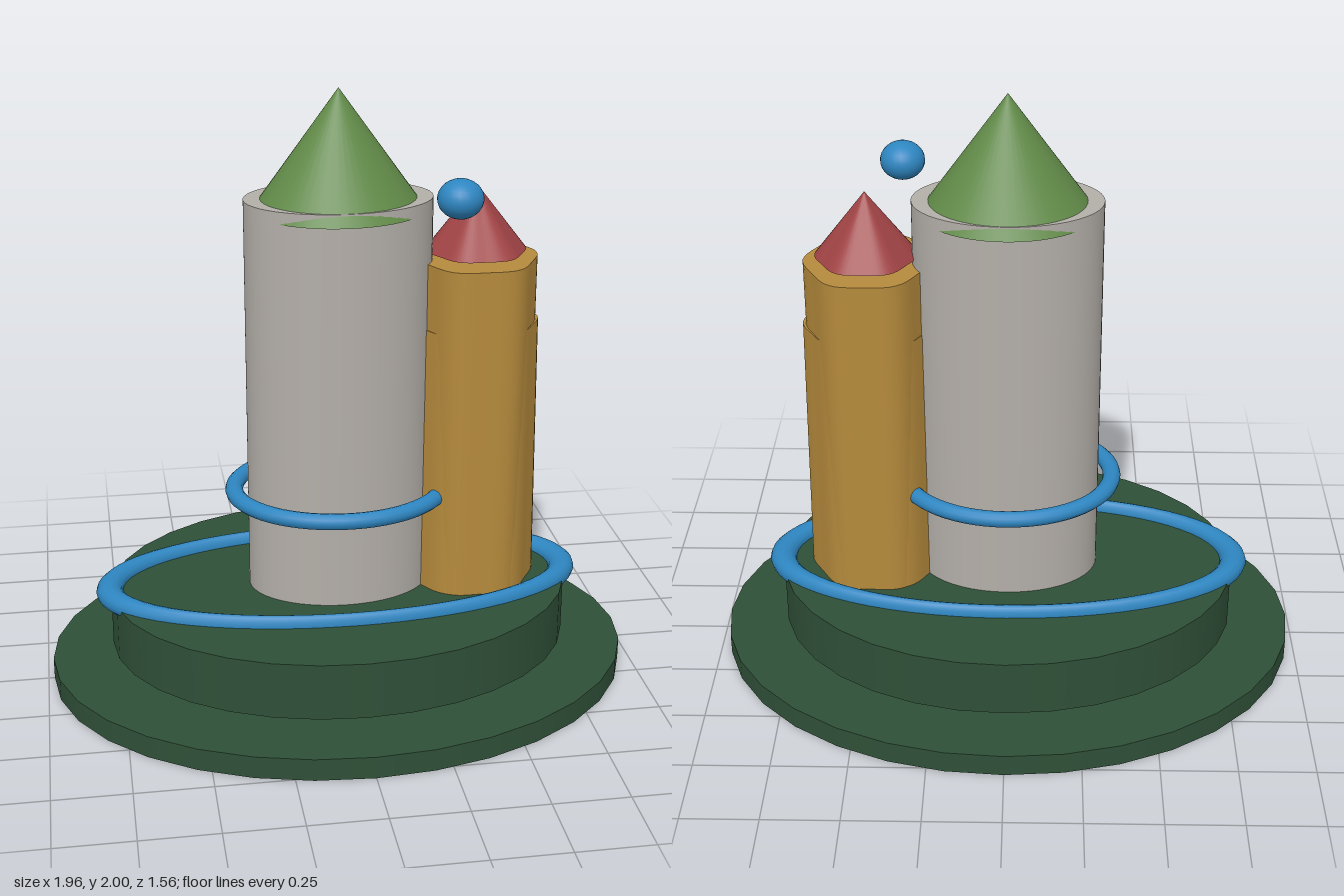
import * as THREE from 'three';

const material = (name, color) => {
  const m = new THREE.MeshStandardMaterial({ color });
  m.name = name;
  return m;
};

export function createModel() {
  const model = new THREE.Group();
  model.name = 'twinTowerMonument';

  const darkGreen = material('dark green', 0x2f5038);
  const grey = material('warm grey', 0xb3aea8);
  const green = material('leaf green', 0x618a48);
  const ochre = material('ochre', 0xb58a3c);
  const red = material('brick red', 0xa04345);
  const blue = material('blue', 0x2e86c1);

  const add = (name, geometry, mat, x = 0, y = 0, z = 0) => {
    const mesh = new THREE.Mesh(geometry, mat);
    mesh.name = name;
    mesh.position.set(x, y, z);
    model.add(mesh);
    return mesh;
  };

  // Upright elliptical cylinder or cone from y0 to y1; top is the ratio of top to bottom radius
  const column = (name, mat, rx, rz, y0, y1, top = 1, x = 0, segments = 32) => {
    const g = new THREE.CylinderGeometry(top, 1, y1 - y0, segments);
    g.scale(rx, 1, rz);
    return add(name, g, mat, x, (y0 + y1) / 2);
  };

  // The same column with six soft lobes round its cross-section
  const lobedColumn = (name, mat, rx, rz, y0, y1, top, x) => {
    const g = new THREE.CylinderGeometry(top, 1, y1 - y0, 60);
    const p = g.attributes.position;
    for (let i = 0; i < p.count; i++) {
      const px = p.getX(i), pz = p.getZ(i);
      const k = 0.965 + 0.035 * Math.cos(6 * Math.atan2(pz, px));
      p.setX(i, px * k * rx);
      p.setZ(i, pz * k * rz);
    }
    g.computeVertexNormals();
    return add(name, g, mat, x, (y0 + y1) / 2);
  };

  // Flat elliptical ring, its tube stretched with it
  const ring = (name, rx, rz, y, tube, halfHeight) => {
    const g = new THREE.TorusGeometry(1, tube, 12, 64);
    g.rotateX(Math.PI / 2);
    g.scale(rx, halfHeight / tube, rz);
    return add(name, g, blue, 0, y);
  };

  // Stepped base
  column('lowerBase', darkGreen, 0.98, 0.78, 0, 0.075);
  column('upperBase', darkGreen, 0.775, 0.62, 0.12, 0.312);

  // Main tower and roof
  column('mainTower', grey, 0.305, 0.216, 0.3, 1.65, 1, 0, 48);
  column('mainRoof', green, 0.28, 0.237, 1.61, 2, 0, 0, 48);

  // Side tower: a full-height shaft with a slightly tapered lower sleeve
  lobedColumn('sideTower', ochre, 0.207, 0.223, 0.3, 1.44, 1, 0.448);
  lobedColumn('sideTowerSleeve', ochre, 0.229, 0.216, 0.3, 1.22, 0.95, 0.448);
  column('sideRoofNeck', red, 0.07, 0.075, 1.43, 1.465, 0.8, 0.445);
  lobedColumn('sideRoof', red, 0.167, 0.175, 1.46, 1.675, 0, 0.45);

  // Rings and floating ball
  ring('baseRing', 0.78, 0.346, 0.313, 0.058, 0.037);
  ring('towerRing', 0.351, 0.293, 0.652, 0.085, 0.027);
  const ball = new THREE.SphereGeometry(1, 24, 16);
  ball.scale(0.073, 0.063, 0.073);
  add('floatingBall', ball, blue, 0.345, 1.69, 0.232);

  return model;
}
